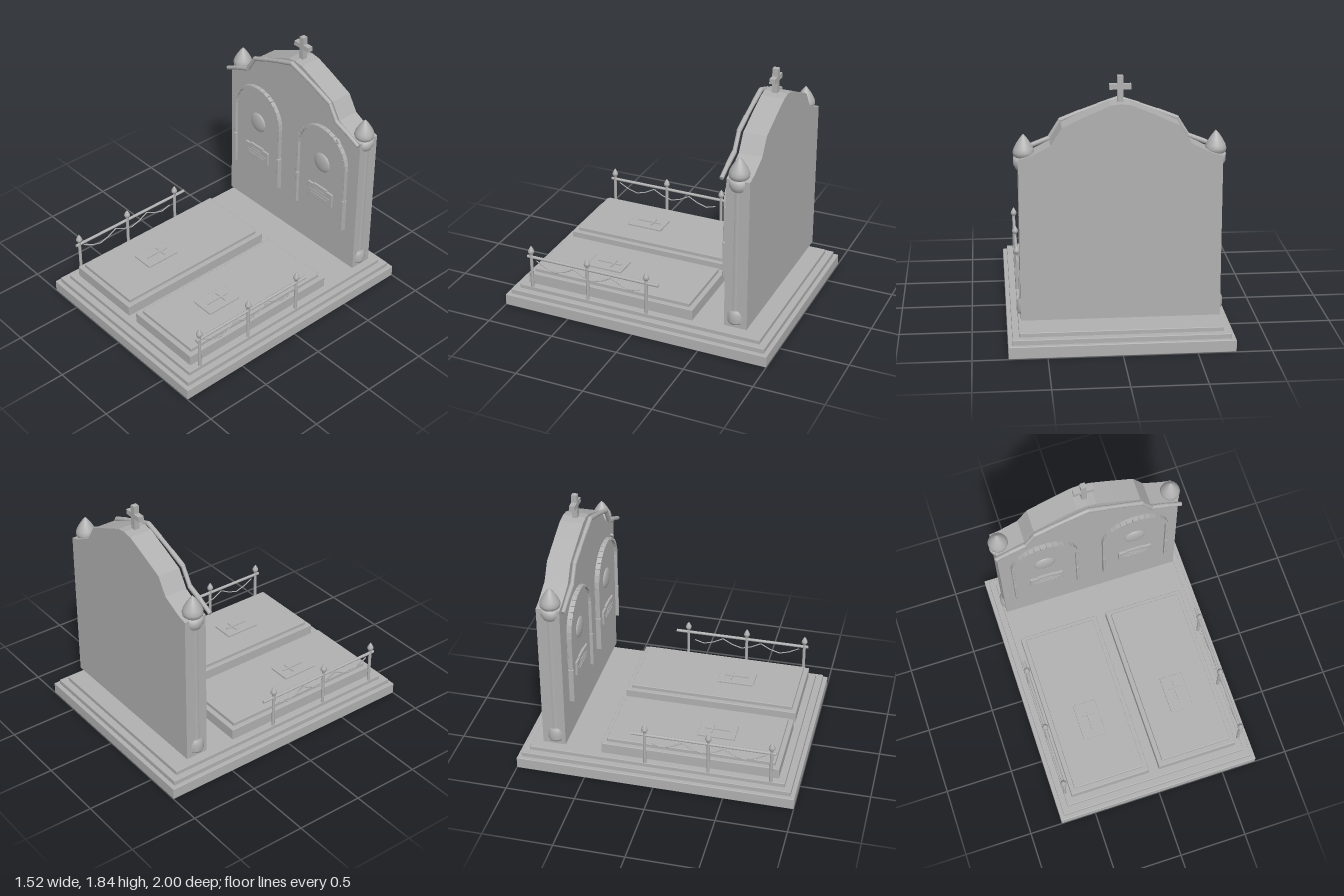
import * as THREE from 'three';
import { RoundedBoxGeometry } from 'three/addons/geometries/RoundedBoxGeometry.js';

export function createModel() {
  const root = new THREE.Group();
  const stone = new THREE.MeshStandardMaterial({ color: 0xb0b0b0 });
  stone.name = 'grey stone';

  const add = (parent, name, geo, x = 0, y = 0, z = 0) => {
    const m = new THREE.Mesh(geo, stone);
    m.name = name;
    m.position.set(x, y, z);
    parent.add(m);
    return m;
  };
  // box given by its limits, optionally with softened edges
  const box = (parent, name, x0, x1, y0, y1, z0, z1, r = 0) => {
    const s = [x1 - x0, y1 - y0, z1 - z0];
    const geo = r ? new RoundedBoxGeometry(...s, 2, r) : new THREE.BoxGeometry(...s);
    return add(parent, name, geo, (x0 + x1) / 2, (y0 + y1) / 2, (z0 + z1) / 2);
  };
  // round bar between two points
  const bar = (parent, name, a, b, r, sides = 10) => {
    const d = b.clone().sub(a);
    const m = add(parent, name, new THREE.CylinderGeometry(r, r, d.length(), sides));
    m.position.copy(a).add(b).multiplyScalar(0.5);
    m.quaternion.setFromUnitVectors(new THREE.Vector3(0, 1, 0), d.normalize());
    return m;
  };
  const lathe = (pts, sides) =>
    new THREE.LatheGeometry(pts.map(([r, y]) => new THREE.Vector2(r, y)), sides);
  const extrude = (shape, depth) =>
    new THREE.ExtrudeGeometry(shape, { depth, bevelEnabled: false, curveSegments: 20 });

  // stepped base
  box(root, 'baseStep', -0.76, 0.76, 0, 0.085, -1, 1, 0.005);
  box(root, 'middleStep', -0.73, 0.73, 0.08, 0.12, -0.97, 0.97, 0.004);
  box(root, 'topStep', -0.685, 0.685, 0.115, 0.15, -0.92, 0.92, 0.004);

  // headstone wall with a stepped, peaked top
  const half = [[0.67, 1.31], [0.6, 1.33], [0.46, 1.4], [0.385, 1.52], [0.2, 1.605], [0.07, 1.66], [0, 1.67]];
  const outline = [[0.67, 0.2], ...half, ...half.slice(0, -1).reverse().map(([x, y]) => [-x, y]), [-0.67, 0.2]];
  const wall = new THREE.Shape(outline.map(([x, y]) => new THREE.Vector2(x, y)));
  add(root, 'headstone', extrude(wall, 0.165), 0, 0, -0.82);

  // cross on the peak
  const cross = new THREE.Group();
  cross.name = 'cross';
  root.add(cross);
  box(cross, 'crossStem', -0.019, 0.019, 1.65, 1.84, -0.75, -0.71);
  box(cross, 'crossArms', -0.072, 0.072, 1.75, 1.785, -0.75, -0.71);

  // finial and corner column profiles
  const finial = lathe([[0, 1.3], [0.05, 1.305], [0.068, 1.325], [0.071, 1.345], [0.064, 1.37],
    [0.045, 1.405], [0.022, 1.44], [0, 1.465]], 28);
  const column = lathe([[0, 0.23], [0.058, 0.23], [0.064, 0.245], [0.064, 0.3], [0.05, 0.325], [0.041, 0.335],
    [0.041, 1.22], [0.052, 1.23], [0.068, 1.26], [0.068, 1.31], [0, 1.32]], 24);
  const spear = lathe([[0, 0.412], [0.014, 0.415], [0.023, 0.43], [0.021, 0.443], [0.01, 0.465], [0, 0.48]], 14);

  const coping = [[0.68, 1.31], [0.575, 1.36], [0.46, 1.405], [0.385, 1.525], [0.26, 1.575], [0.13, 1.622], [0, 1.665]];
  for (const s of [-1, 1]) {
    const side = new THREE.Group();
    side.name = s > 0 ? 'leftSide' : 'rightSide';
    root.add(side);
    const cx = 0.34 * s;

    // coping rods along the top edge
    for (let i = 0; i < coping.length - 1; i++) {
      const [a, b] = [coping[i], coping[i + 1]].map(([x, y]) => new THREE.Vector3(x * s, y, -0.625));
      bar(side, 'copingRod', a, b, i % 2 ? 0.017 : 0.015, 12);
      add(side, 'copingJoint', new THREE.SphereGeometry(0.0165, 12, 8), b.x, b.y, b.z);
    }
    add(side, 'cornerFinial', finial, 0.632 * s, 0, -0.73);
    add(side, 'cornerColumn', column, 0.632 * s, 0, -0.73);

    // arched panel
    const arch = new THREE.Shape();
    arch.moveTo(-0.24, 0.525);
    arch.lineTo(0.24, 0.525);
    arch.lineTo(0.24, 1.05);
    arch.absarc(0, 1.05, 0.24, 0, Math.PI, false);
    arch.lineTo(-0.24, 0.525);
    add(side, 'archPanel', extrude(arch, 0.016), cx, 0, -0.642);

    // raised frame: two-part jambs and a ring of small blocks
    for (const e of [-1, 1]) {
      const x = cx + e * 0.238;
      box(side, 'lowerJamb', x - 0.01, x + 0.01, 0.52, 0.785, -0.64, -0.603, 0.003);
      box(side, 'upperJamb', x - 0.01, x + 0.01, 0.79, 1.05, -0.635, -0.605, 0.003);
    }
    const n = 17;
    for (let i = 0; i < n; i++) {
      const a = ((i + 0.5) / n) * Math.PI;
      const block = add(side, 'archBlock', new THREE.BoxGeometry(0.02, 0.042, 0.032),
        cx + Math.cos(a) * 0.238, 1.05 + Math.sin(a) * 0.238, -0.62);
      block.rotation.z = a;
    }

    // shallow dome medallion
    const dome = add(side, 'medallion', new THREE.SphereGeometry(0.077, 32, 20), cx, 0.99, -0.627);
    dome.scale.z = 0.28;

    // plaque with a small ledge and raised lines
    box(side, 'plaque', cx - 0.125, cx + 0.125, 0.66, 0.77, -0.63, -0.612, 0.003);
    box(side, 'plaqueLedge', cx - 0.065, cx + 0.065, 0.77, 0.781, -0.63, -0.61);
    for (const [w, y] of [[0.05, 0.742], [0.1, 0.718], [0.08, 0.694]])
      box(side, 'plaqueLine', cx - w, cx + w, y - 0.003, y + 0.003, -0.613, -0.608);

    // grave: curb, cover slab, plate and flat cross
    const gx = 0.3375 * s;
    box(side, 'graveCurb', gx - 0.298, gx + 0.298, 0.145, 0.23, -0.405, 0.87, 0.004);
    box(side, 'graveSlab', gx - 0.265, gx + 0.265, 0.225, 0.257, -0.37, 0.835, 0.004);
    box(side, 'gravePlate', cx - 0.085, cx + 0.085, 0.255, 0.27, 0.24, 0.51, 0.003);
    box(side, 'plateCrossStem', cx - 0.006, cx + 0.006, 0.268, 0.278, 0.28, 0.46);
    box(side, 'plateCrossArms', cx - 0.05, cx + 0.05, 0.268, 0.278, 0.33, 0.342);

    // railing: posts, top rail and hanging chain
    const rx = 0.675 * s;
    for (const z of [-0.077, 0.377, 0.82]) {
      bar(side, 'railPost', new THREE.Vector3(rx, 0.15, z), new THREE.Vector3(rx, 0.42, z), 0.0115, 12);
      add(side, 'postSpear', spear, rx, 0, z);
    }
    bar(side, 'topRail', new THREE.Vector3(rx, 0.39, -0.17), new THREE.Vector3(rx, 0.39, 0.85), 0.011, 12);
    const sag = [0.365, 0.325, 0.303, 0.325];
    const links = [];
    for (let i = 0; i <= 11; i++) links.push(new THREE.Vector3(rx, sag[i % 4], 0.78 - i * 0.0735));
    for (let i = 0; i < links.length - 1; i++) bar(side, 'chainLink', links[i], links[i + 1], 0.0045, 6);
  }

  // loose chip beside one arch
  const chip = add(root, 'archChip', new THREE.BoxGeometry(0.035, 0.014, 0.02), 0.497, 1.262, -0.615);
  chip.rotation.z = -0.8;
  return root;
}
